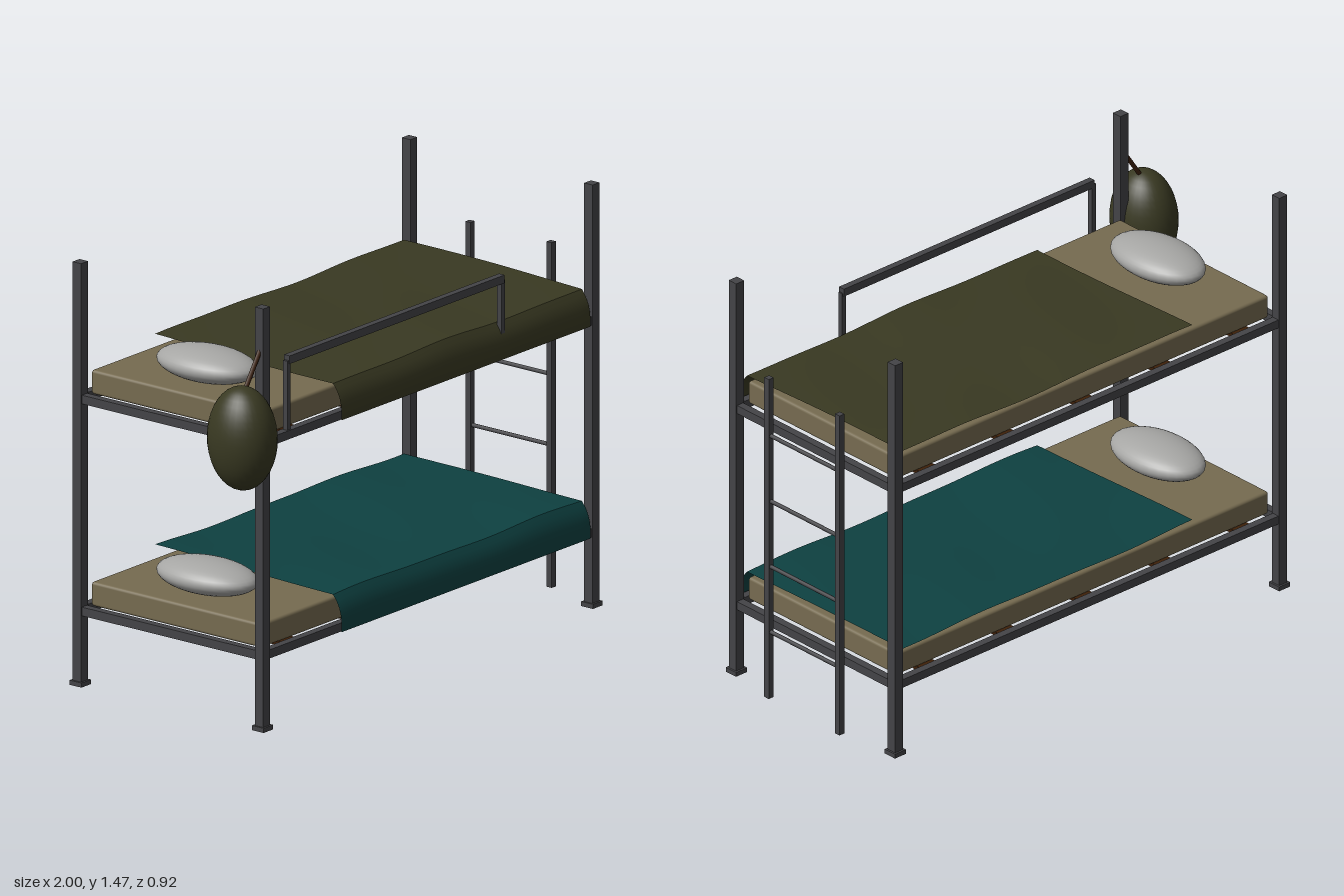
import * as THREE from 'three';
import { RoundedBoxGeometry } from 'three/addons/geometries/RoundedBoxGeometry.js';

const material = (name, color) => {
  const m = new THREE.MeshStandardMaterial({ color });
  m.name = name;
  return m;
};

export function createModel() {
  const metal = material('dark metal', 0x444447);
  const tan = material('mattress tan', 0x766b50);
  const olive = material('olive cloth', 0x393922);
  const teal = material('teal cloth', 0x0e4141);
  const white = material('pillow grey', 0xa6a6a4);
  const brown = material('brown wood and leather', 0x3d2009);
  olive.side = teal.side = THREE.DoubleSide;

  const model = new THREE.Group();
  model.name = 'bunkBed';

  const add = (parent, name, geometry, mat, x, y, z) => {
    const mesh = new THREE.Mesh(geometry, mat);
    mesh.name = name;
    mesh.position.set(x, y, z);
    parent.add(mesh);
    return mesh;
  };
  const box = (parent, name, mat, w, h, d, x, y, z) =>
    add(parent, name, new THREE.BoxGeometry(w, h, d), mat, x, y, z);
  const ellipsoid = (parent, name, mat, rx, ry, rz, x, y, z) =>
    add(parent, name, new THREE.SphereGeometry(1, 32, 20).scale(rx, ry, rz), mat, x, y, z);

  // Grid surface shaped by a rule of u and v
  const sheet = (nu, nv, rule) => {
    const g = new THREE.PlaneGeometry(1, 1, nu, nv);
    const p = g.attributes.position;
    for (let i = 0; i < p.count; i++) p.setXYZ(i, ...rule(p.getX(i) + 0.5, p.getY(i) + 0.5));
    g.computeVertexNormals();
    return g;
  };

  const left = -0.79, right = 0.933, front = 0.34, back = -0.435;
  const midX = (left + right) / 2, midZ = (front + back) / 2;

  // Corner posts with feet
  for (const x of [left, right]) {
    for (const z of [front, back]) {
      box(model, 'post', metal, 0.036, 1.457, 0.036, x, 0.7385, z);
      box(model, 'foot', metal, 0.05, 0.016, 0.05, x, 0.008, z);
    }
  }

  // One bunk: rails, slats, mattress, pillow and blanket
  function bunk(name, y, cloth, phase) {
    const g = new THREE.Group();
    g.name = name;
    g.position.y = y;
    for (const z of [front, back]) box(g, 'sideRail', metal, right - left, 0.03, 0.028, midX, 0, z);
    for (const x of [left, right]) box(g, 'endRail', metal, 0.028, 0.03, front - back, x, 0, midZ);
    for (let i = 0; i < 5; i++) {
      box(g, 'slat', brown, 0.07, 0.015, 0.76, -0.635 + i * 0.3525, 0.004, midZ);
    }
    add(g, 'mattress', new RoundedBoxGeometry(1.67, 0.084, 0.725, 2, 0.01), tan, 0.07, 0.053, midZ);
    ellipsoid(g, 'pillow', white, 0.118, 0.057, 0.195, -0.602, 0.151, -0.047);

    // Gently wavy top and a flap hanging over the front rail
    const across = (u) => -0.402 + 1.302 * u;
    const top = (u, v) => 0.109 + 0.015 * v
      + 0.004 * Math.sin(u * 9 + v * 2 + phase) + 0.002 * Math.sin(u * 17 - v * 5);
    add(g, 'blanketTop', sheet(28, 14, (u, v) => [across(u), top(u, v), 0.325 - 0.757 * v]), cloth, 0, 0, 0);
    add(g, 'blanketFlap', sheet(28, 6, (u, v) => [
      across(u),
      THREE.MathUtils.lerp(-0.014, top(u, 0), v),
      0.362 - 0.037 * v ** 3 + 0.002 * Math.sin(u * 14 + phase) * v * (1 - v),
    ]), cloth, 0, 0, 0);
    model.add(g);
  }
  bunk('lowerBunk', 0.26, teal, 0);
  bunk('upperBunk', 0.995, olive, 4);

  // Guard rail on the upper bunk
  const guard = new THREE.Group();
  guard.name = 'guardRail';
  box(guard, 'guardBar', metal, 1.125, 0.028, 0.024, -0.1, 1.253, front);
  for (const x of [-0.662, 0.458]) box(guard, 'guardPost', metal, 0.018, 0.25, 0.018, x, 1.125, front);
  model.add(guard);

  // Ladder at the right end
  const ladder = new THREE.Group();
  ladder.name = 'ladder';
  for (const z of [0.125, -0.22]) box(ladder, 'ladderUpright', metal, 0.022, 1.197, 0.022, 0.985, 0.6085, z);
  for (let i = 0; i < 4; i++) {
    const rung = new THREE.CylinderGeometry(0.007, 0.007, 0.345, 10).rotateX(Math.PI / 2);
    add(ladder, 'rung', rung, metal, 0.985, 0.257 + i * 0.245, -0.0475);
  }
  model.add(ladder);

  // Bag hung from a post by a strap
  const bag = new THREE.Group();
  bag.name = 'hangingBag';
  ellipsoid(bag, 'bagBody', olive, 0.106, 0.179, 0.124, -0.894, 1.038, 0.339);
  const strapPath = new THREE.LineCurve3(
    new THREE.Vector3(-0.89, 1.185, 0.339), new THREE.Vector3(-0.79, 1.335, 0.339));
  add(bag, 'bagStrap', new THREE.TubeGeometry(strapPath, 1, 0.008, 8), brown, 0, 0, 0);
  model.add(bag);

  return model;
}
